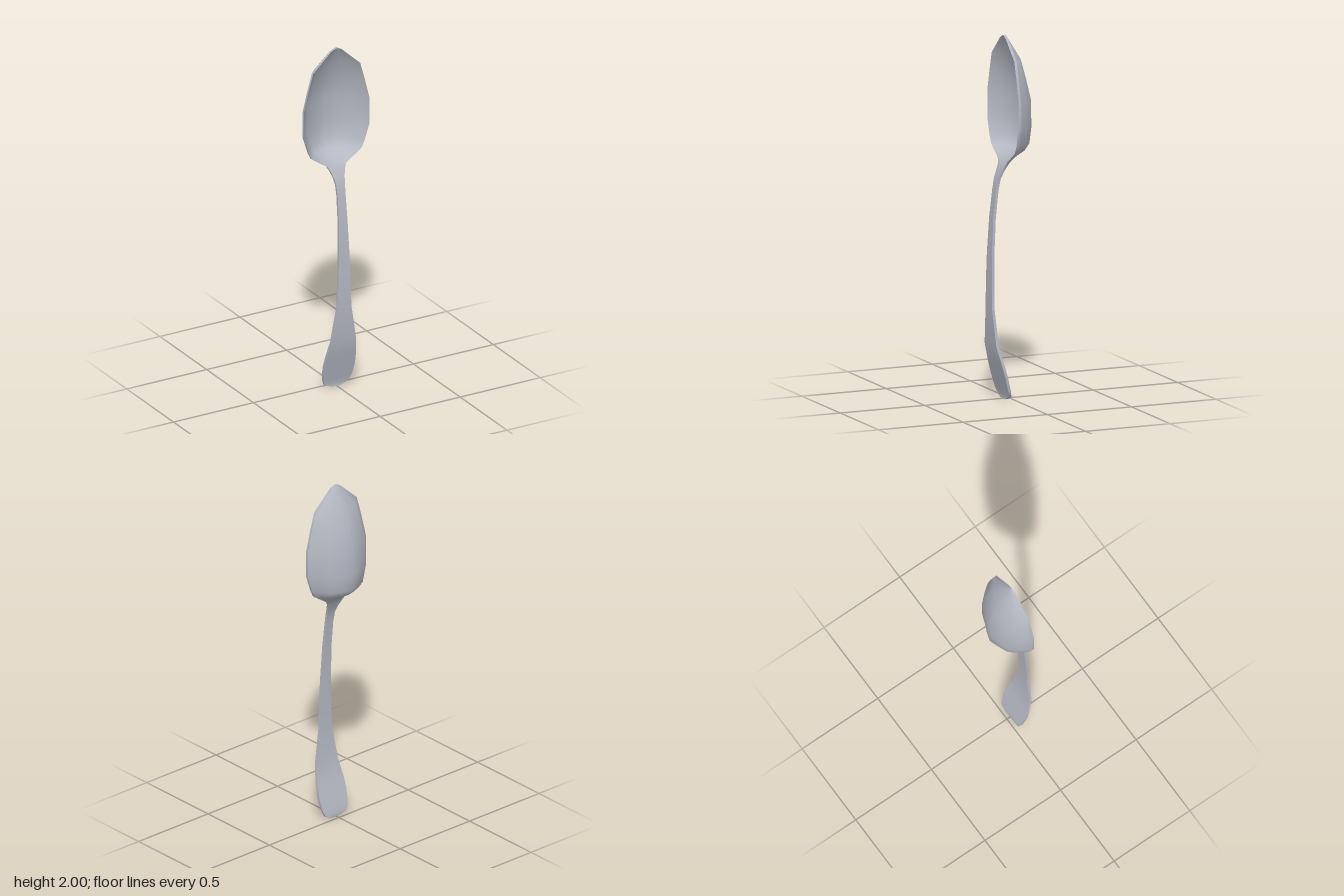
import * as THREE from 'three';

const THICKNESS = 0.015;

// Stations from handle tip to bowl tip: [y, half width, z of rim, bowl depth]
const STATIONS = [
  [0, 0.03, 0.036, 0], [0.02, 0.075, 0.034, 0], [0.05, 0.088, 0.043, 0],
  [0.13, 0.098, 0.064, 0], [0.2, 0.093, 0.083, 0], [0.3, 0.077, 0.109, 0],
  [0.5, 0.043, 0.119, 0], [0.65, 0.038, 0.119, 0], [0.8, 0.033, 0.116, 0],
  [1.0, 0.027, 0.105, 0], [1.15, 0.025, 0.088, 0], [1.21, 0.027, 0.077, 0],
  [1.25, 0.034, 0.062, 0], [1.285, 0.046, 0.045, 0], [1.31, 0.06, 0.036, 0.006],
  [1.34, 0.105, 0.035, 0.04], [1.375, 0.155, 0.035, 0.1], [1.415, 0.174, 0.035, 0.134],
  [1.51, 0.205, 0.035, 0.139], [1.66, 0.205, 0.035, 0.135], [1.77, 0.178, 0.035, 0.105],
  [1.88, 0.147, 0.035, 0.07], [1.985, 0.035, 0.035, 0.006], [2.0, 0.004, 0.035, 0],
];

// Cross-section: [fraction of half width, fraction of depth]
const HALF = [[0.3, 0.87], [0.63, 0.68], [0.83, 0.35], [1, 0]];
const SECTION = [...HALF.map(([x, d]) => [-x, d]).reverse(), [0, 1], ...HALF];

// Smooth surface through rows of points; faces along (column x row) direction
function surface(rows, flip = false) {
  const n = rows[0].length;
  const index = [];
  for (let i = 0; i < rows.length - 1; i++) {
    for (let j = 0; j < n - 1; j++) {
      const a = i * n + j, b = a + 1, c = a + n, d = c + 1;
      if (flip) index.push(a, c, b, b, c, d);
      else index.push(a, b, c, b, d, c);
    }
  }
  const geometry = new THREE.BufferGeometry();
  geometry.setAttribute('position', new THREE.Float32BufferAttribute(rows.flat(2), 3));
  geometry.setIndex(index);
  geometry.computeVertexNormals();
  return geometry;
}

export function createModel() {
  const group = new THREE.Group();
  group.name = 'spoon';
  const metal = new THREE.MeshStandardMaterial({ color: 0xb4b8c2 });
  metal.name = 'silver metal';

  const add = (name, geometry) => {
    const mesh = new THREE.Mesh(geometry, metal);
    mesh.name = name;
    group.add(mesh);
  };
  const shiftBack = ([x, y, z]) => [x, y, z - THICKNESS];

  // Front face with the hollow of the bowl, and the matching back
  const front = STATIONS.map(([y, w, z, depth]) =>
    SECTION.map(([fx, fd]) => [fx * w, y, z - fd * depth]));
  const back = front.map((row) => row.map(shiftBack));
  add('frontFace', surface(front));
  add('backFace', surface(back, true));

  // Thin edge all the way round: up the left side, over the tip, down the right
  const last = SECTION.length - 1;
  const outline = [
    ...front.map((row) => row[last]),
    ...front.map((row) => row[0]).reverse(),
    front[0][last],
  ];
  add('edge', surface([outline.map(shiftBack), outline]));

  return group;
}
